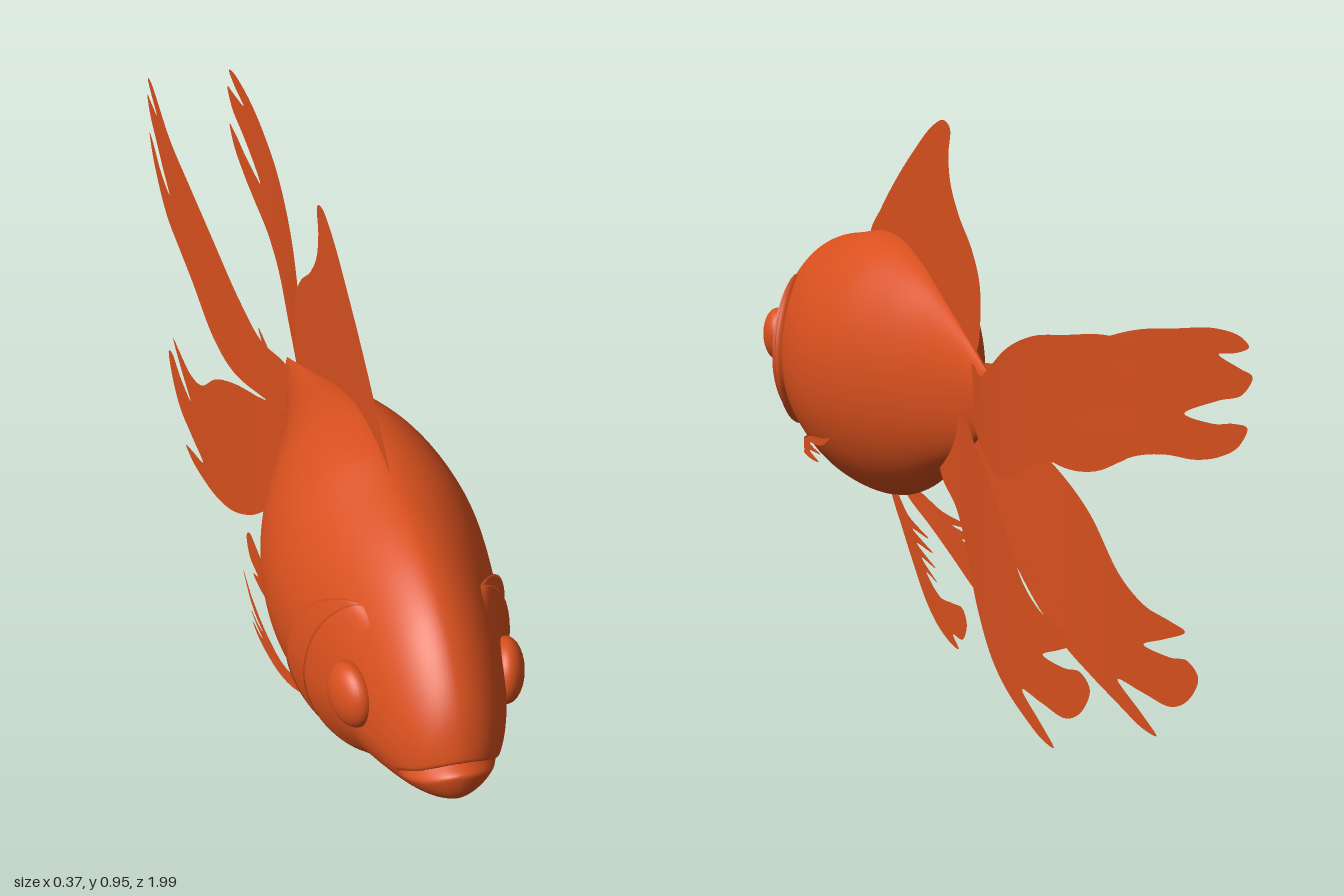
import * as THREE from 'three';
import { mergeVertices } from 'three/addons/utils/BufferGeometryUtils.js';

const material = new THREE.MeshStandardMaterial({ color: 0xd9501e, roughness: 0.6, side: THREE.DoubleSide });

// Body stations from nose to tail: z, top, bottom, half width, height of widest point
const stations = [
  [1, 0.425, 0.425, 0, 0.425], [0.99, 0.475, 0.378, 0.035, 0.425], [0.97, 0.52, 0.357, 0.06, 0.425],
  [0.93, 0.57, 0.335, 0.086, 0.425], [0.86, 0.625, 0.31, 0.114, 0.425], [0.78, 0.66, 0.28, 0.136, 0.425],
  [0.7, 0.68, 0.245, 0.155, 0.43], [0.6, 0.695, 0.21, 0.175, 0.44], [0.48, 0.712, 0.195, 0.184, 0.445],
  [0.36, 0.705, 0.205, 0.165, 0.45], [0.24, 0.67, 0.245, 0.118, 0.455], [0.12, 0.62, 0.305, 0.068, 0.46],
  [0, 0.57, 0.365, 0.03, 0.475], [-0.08, 0.535, 0.415, 0.014, 0.48], [-0.12, 0.52, 0.44, 0.005, 0.48],
];

// Smooth lookup of rows of values along a rising parameter
function table(params, rows) {
  const n = rows[0].length;
  const f = new THREE.CubicInterpolant(new Float32Array(params), new Float32Array(rows.flat()), n, new Float32Array(n));
  return (t) => f.evaluate(t);
}

// The square root of the distance from the nose gives a rounded nose
const profile = table(stations.map((r) => Math.sqrt(1 - r[0])), stations.map((r) => r.slice(1)));

function bodyPoint(z, angle, offset = 0) {
  const [top, bottom, width, mid] = profile(Math.sqrt(Math.max(0, 1 - z)));
  const c = Math.cos(angle), s = Math.sin(angle);
  const x = Math.sign(c) * Math.pow(Math.abs(c), 1.12) * width + c * offset;
  const y = mid + s * (s > 0 ? top - mid : mid - bottom) + s * offset;
  return [x, y, z];
}

// Surface from a rule over u and v, both 0..1
function surface(rule, nu, nv) {
  const pos = [], index = [];
  for (let i = 0; i <= nu; i++) {
    for (let j = 0; j <= nv; j++) pos.push(...rule(i / nu, j / nv));
  }
  for (let i = 0; i < nu; i++) {
    for (let j = 0; j < nv; j++) {
      const a = i * (nv + 1) + j, b = a + nv + 1;
      index.push(a, b, a + 1, b, b + 1, a + 1);
    }
  }
  const g = new THREE.BufferGeometry();
  g.setAttribute('position', new THREE.Float32BufferAttribute(pos, 3));
  g.setIndex(index);
  const merged = mergeVertices(g, 1e-5);
  merged.computeVertexNormals();
  return merged;
}

// Fin sheet: smooth outline of [z, y] points, cut fine, then bent sideways by bend(z)
function finGeometry(outline, bend) {
  const curve = new THREE.CatmullRomCurve3(outline.map(([z, y]) => new THREE.Vector3(z, y, 0)), true, 'centripetal');
  const pts = curve.getPoints(outline.length * 6).slice(0, -1).map((p) => new THREE.Vector2(p.x, p.y));
  const flat = new THREE.ShapeGeometry(new THREE.Shape(pts)).toNonIndexed().getAttribute('position');
  const pos = [];
  const split = (a, b, c) => {
    const ab = a.distanceTo(b), bc = b.distanceTo(c), ca = c.distanceTo(a);
    const longest = Math.max(ab, bc, ca);
    if (longest < 0.05) {
      for (const p of [a, b, c]) pos.push(bend(p.x), p.y, p.x);
    } else if (longest === bc) split(b, c, a);
    else if (longest === ca) split(c, a, b);
    else {
      const m = a.clone().add(b).multiplyScalar(0.5);
      split(a, m, c);
      split(m, b, c);
    }
  };
  const at = (i) => new THREE.Vector2(flat.getX(i), flat.getY(i));
  for (let i = 0; i < flat.count; i += 3) split(at(i), at(i + 1), at(i + 2));
  const g = new THREE.BufferGeometry();
  g.setAttribute('position', new THREE.Float32BufferAttribute(pos, 3));
  const merged = mergeVertices(g, 1e-5);
  merged.computeVertexNormals();
  return merged;
}

// Sideways bend from [z, x] pairs, listed front to back
function bendBy(pairs) {
  const f = table(pairs.map((p) => -p[0]), pairs.map((p) => [p[1]]));
  return (z) => f(-z)[0];
}

const dorsalOutline = [
  [0.57, 0.695], [0.5, 0.755], [0.4, 0.825], [0.3, 0.885], [0.2, 0.937], [0.13, 0.955], [0.095, 0.94], [0.105, 0.895],
  [0.095, 0.845], [0.05, 0.79], [-0.02, 0.735], [-0.06, 0.68], [-0.065, 0.62], [-0.05, 0.56], [0, 0.53], [0.3, 0.65],
];
const tailOutline = [
  [0.03, 0.5], [-0.06, 0.535], [-0.17, 0.533], [-0.25, 0.56], [-0.4, 0.622], [-0.55, 0.665], [-0.7, 0.69], [-0.85, 0.713],
  [-0.95, 0.715], [-0.98, 0.705], [-0.94, 0.69], [-0.865, 0.675], [-0.95, 0.667], [-0.995, 0.662], [-0.96, 0.63],
  [-0.87, 0.605], [-0.735, 0.56], [-0.85, 0.565], [-0.93, 0.58], [-0.98, 0.582], [-0.95, 0.55], [-0.88, 0.52],
  [-0.78, 0.495], [-0.66, 0.48], [-0.55, 0.455], [-0.42, 0.405], [-0.31, 0.39], [-0.18, 0.41], [-0.05, 0.44],
];
const analOutline = [
  [0.13, 0.35], [0.11, 0.3], [0, 0.257], [-0.1, 0.2], [-0.2, 0.125], [-0.3, 0.072], [-0.4, 0.042], [-0.5, 0.022],
  [-0.6, 0.007], [-0.655, 0.01], [-0.6, 0.03], [-0.5, 0.063], [-0.6, 0.068], [-0.71, 0.075], [-0.78, 0.11],
  [-0.808, 0.15], [-0.77, 0.167], [-0.7, 0.155], [-0.6, 0.15], [-0.68, 0.18], [-0.757, 0.212], [-0.7, 0.215],
  [-0.6, 0.217], [-0.5, 0.247], [-0.39, 0.325], [-0.28, 0.378], [-0.17, 0.415], [-0.08, 0.44], [0.03, 0.42],
];
const pelvicOutline = [
  [0.42, 0.215], [0.38, 0.19], [0.3, 0.158], [0.2, 0.115], [0.1, 0.072], [0, 0.043], [-0.1, 0.03], [-0.135, 0.033],
  [-0.1, 0.05], [-0.16, 0.057], [-0.182, 0.09], [-0.16, 0.112], [-0.1, 0.108], [-0.02, 0.1], [0.08, 0.122],
  [0.0, 0.122], [0.12, 0.14], [0.01, 0.146], [0.16, 0.158], [0.03, 0.17], [0.2, 0.177], [0.06, 0.19], [0.24, 0.195], [0.34, 0.215],
];
const pectoralOutline = [
  [0.6, 0.287], [0.5, 0.305], [0.4, 0.328], [0.33, 0.336], [0.28, 0.346], [0.33, 0.322], [0.42, 0.311],
  [0.34, 0.303], [0.42, 0.296], [0.35, 0.286], [0.45, 0.279], [0.55, 0.275],
];

export function createModel() {
  const model = new THREE.Group();
  model.name = 'fancyGoldfish';
  const add = (parent, name, geometry) => {
    const mesh = new THREE.Mesh(geometry, material);
    mesh.name = name;
    parent.add(mesh);
    return mesh;
  };

  // Body, with a downturned mouth pressed into the nose
  const sEnd = Math.sqrt(1.12);
  add(model, 'body', surface((u, v) => {
    const p = bodyPoint(1 - (u * sEnd) ** 2, v * Math.PI * 2);
    const [x, y, z] = p;
    if (z > 0.88) {
      const line = (y - 0.435 + 7 * x * x) / 0.007;
      p[2] -= 0.03 * Math.exp(-line * line) * THREE.MathUtils.smoothstep(0.085 - Math.abs(x), 0, 0.02);
    }
    return p;
  }, 140, 112));

  add(model, 'dorsalFin', finGeometry(dorsalOutline, () => 0));

  // Paired parts, made for the left and mirrored
  const tailBend = bendBy([[0.03, 0.0], [-0.05, 0.012], [-0.2, 0.045], [-0.4, 0.075], [-0.7, 0.094], [-1, 0.085]]);
  const analBend = bendBy([[0.13, 0.012], [0, 0.022], [-0.2, 0.055], [-0.4, 0.08], [-0.65, 0.09], [-0.81, 0.092]]);
  const pelvicBend = bendBy([[0.42, 0.012], [0.2, 0.04], [0, 0.06], [-0.18, 0.068]]);
  const pectoralBend = bendBy([[0.6, 0.12], [0.52, 0.158], [0.42, 0.176], [0.28, 0.178]]);
  const parts = {
    tailFin: finGeometry(tailOutline, tailBend),
    analFin: finGeometry(analOutline, analBend),
    pelvicFin: finGeometry(pelvicOutline, pelvicBend),
    pectoralFin: finGeometry(pectoralOutline, pectoralBend),
  };

  // Gill plates: lifted patches of the body whose rear edge curves and tucks in
  const gillPlate = (rear, lift) => surface((u, v) => {
    const t = v * 2 - 1;
    const back = rear + (0.765 - rear) * t * t;
    const z = THREE.MathUtils.lerp(0.83, back, Math.min(1, u / 0.92));
    const rise = u > 0.92 ? 1 - (u - 0.92) / 0.08 : Math.pow(u / 0.92, 1.5);
    return bodyPoint(z, THREE.MathUtils.lerp(-1.0, 0.8, v), -0.003 + (lift + 0.003) * rise * Math.sqrt(1 - t ** 4));
  }, 25, 32);
  parts.gillCover = gillPlate(0.62, 0.014);
  parts.cheekPlate = gillPlate(0.69, 0.016);

  for (const [side, sign] of [['left', 1], ['right', -1]]) {
    const half = new THREE.Group();
    half.name = side + 'Side';
    half.scale.x = sign;
    for (const [name, geometry] of Object.entries(parts)) add(half, name, geometry);
    // Bulging eye
    const eye = add(half, 'eye', new THREE.SphereGeometry(1, 32, 20));
    eye.scale.set(0.03, 0.054, 0.054);
    eye.position.set(0.127, 0.463, 0.81);
    eye.rotation.y = -0.25;
    model.add(half);
  }
  return model;
}
